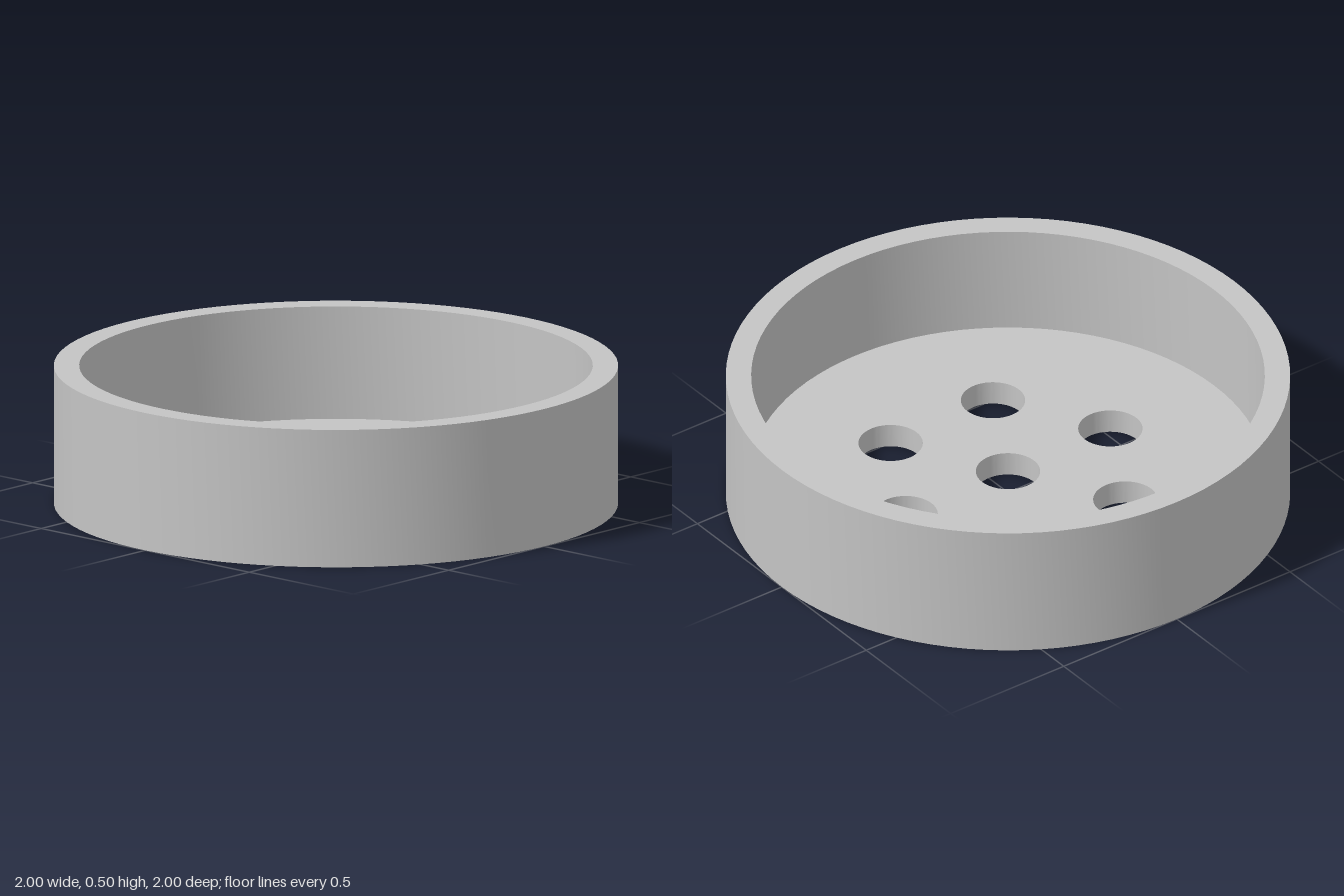
import * as THREE from 'three';
import { toCreasedNormals } from 'three/addons/utils/BufferGeometryUtils.js';

const OUTER = 1, INNER = 0.91, HEIGHT = 0.5, FLOOR = 0.091;
const HOLE_RADIUS = 0.114, HOLE_RING = 0.4525, SEGMENTS = 96;

// Centre hole plus six around it
const holeCentres = [[0, 0]];
for (let i = 0; i < 6; i++) {
  const a = (i * Math.PI) / 3;
  holeCentres.push([HOLE_RING * Math.cos(a), HOLE_RING * Math.sin(a)]);
}

// Revolve a profile of [radius, height] pairs with crisp corners
function revolve(profile) {
  const points = profile.map(([r, y]) => new THREE.Vector2(r, y));
  return toCreasedNormals(new THREE.LatheGeometry(points, SEGMENTS), Math.PI / 6);
}

// Flat disc pierced by all the holes
function piercedDisc(radius) {
  const shape = new THREE.Shape().absarc(0, 0, radius, 0, Math.PI * 2);
  for (const [x, y] of holeCentres) {
    shape.holes.push(new THREE.Path().absarc(x, y, HOLE_RADIUS, 0, Math.PI * 2, true));
  }
  return new THREE.ShapeGeometry(shape, SEGMENTS / 2);
}

export function createModel() {
  const group = new THREE.Group();
  group.name = 'drainCup';
  const grey = new THREE.MeshStandardMaterial({ color: 0xc4c4c4 });
  grey.name = 'grey';

  const add = (name, geometry) => {
    const mesh = new THREE.Mesh(geometry, grey);
    mesh.name = name;
    group.add(mesh);
    return mesh;
  };

  // Outer wall, rim and inner wall
  add('wall', revolve([[OUTER, 0], [OUTER, HEIGHT], [INNER, HEIGHT], [INNER, FLOOR]]));

  // Upper and lower faces of the floor
  add('floorTop', piercedDisc(INNER).rotateX(-Math.PI / 2)).position.y = FLOOR;
  add('floorUnderside', piercedDisc(OUTER).rotateX(Math.PI / 2));

  // Bores through the floor, facing inwards
  const bore = revolve([[HOLE_RADIUS, FLOOR], [HOLE_RADIUS, 0]]);
  holeCentres.forEach(([x, z], i) => add(`holeBore${i + 1}`, bore).position.set(x, 0, z));

  return group;
}
